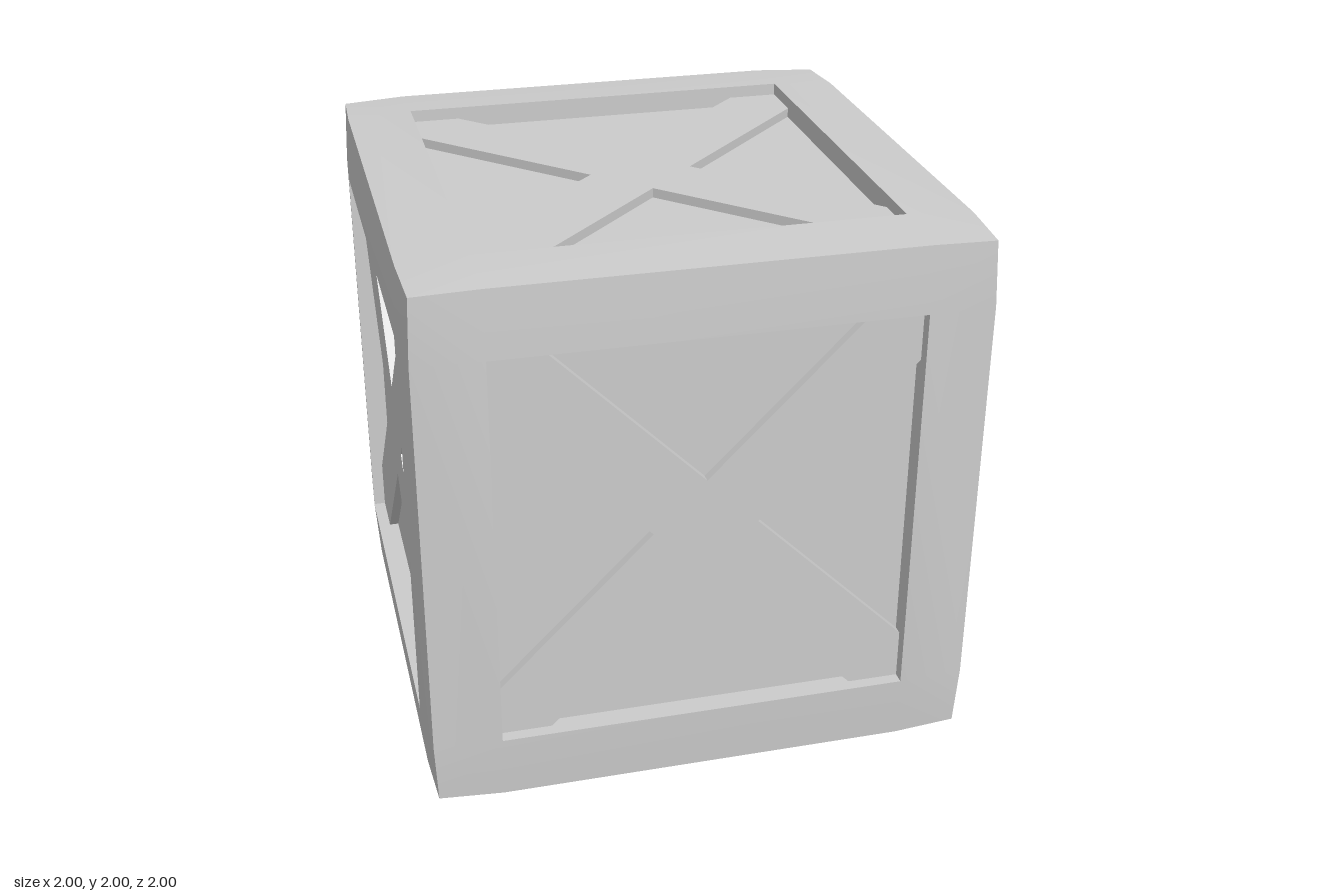
import * as THREE from 'three';
import { mergeVertices } from 'three/addons/utils/BufferGeometryUtils.js';

const INNER = 0.742;   // half width of the recessed opening
const EDGE = 0.984;    // crate edge along its middle
const CORNER = 0.974;  // crate corners, pulled in slightly
const PANEL = 0.92;    // recessed panel depth
const CROSS = 0.955;   // cross brace depth
const ARM = 0.186;     // inner notch of the cross

// Repeat a few [x, y, z] points four times, turning a quarter each time
function quarterTurns(points) {
  const ring = [];
  for (let k = 0; k < 4; k++) {
    for (const [x, y, z] of points) {
      ring.push([[x, y, z], [-y, x, z], [-x, -y, z], [y, -x, z]][k]);
    }
  }
  return ring;
}

// Surface between two closed counter-clockwise rings
function bridge(outer, inner) {
  const n = outer.length;
  const index = [];
  for (let i = 0; i < n; i++) {
    const j = (i + 1) % n;
    index.push(i, j, n + j, i, n + j, n + i);
  }
  let geometry = new THREE.BufferGeometry();
  geometry.setAttribute('position', new THREE.Float32BufferAttribute([...outer, ...inner].flat(), 3));
  geometry.setIndex(index);
  geometry = mergeVertices(geometry);
  geometry.computeVertexNormals();
  return geometry;
}

export function createModel() {
  const model = new THREE.Group();
  model.name = 'crate';
  const material = new THREE.MeshStandardMaterial({ color: 0xcccccc });

  // Slightly domed frame around each opening
  const outer = quarterTurns([[EDGE, INNER, EDGE], [CORNER, CORNER, CORNER], [INNER, EDGE, EDGE]]);
  const lip = quarterTurns([[INNER, INNER, 1], [INNER, INNER, 1], [INNER, INNER, 1]]);
  const frame = bridge(outer, lip);

  // Straight walls of the recess, flat shaded
  const wall = bridge(
    quarterTurns([[INNER, INNER, 1]]),
    quarterTurns([[INNER, INNER, PANEL]])
  ).toNonIndexed();
  wall.computeVertexNormals();

  const panel = new THREE.PlaneGeometry(2 * INNER, 2 * INNER).translate(0, 0, PANEL);

  // Diagonal cross brace, clipped by the opening
  const end = INNER - ARM;
  const outline = quarterTurns([[ARM, 0, 0], [INNER, end, 0], [INNER, INNER, 0], [end, INNER, 0]]);
  const cross = new THREE.ExtrudeGeometry(
    new THREE.Shape(outline.map(([x, y]) => new THREE.Vector2(x, y))),
    { depth: CROSS - PANEL, bevelEnabled: false }
  ).translate(0, 0, PANEL);

  // Six identical sides around the crate centre
  const sides = {
    front: [0, 0], left: [0, Math.PI / 2], back: [0, Math.PI], right: [0, -Math.PI / 2],
    top: [-Math.PI / 2, 0], bottom: [Math.PI / 2, 0]
  };
  for (const [name, [rx, ry]] of Object.entries(sides)) {
    const side = new THREE.Group();
    side.name = name + 'Side';
    const parts = { frame, recessWall: wall, panel, crossBrace: cross };
    for (const [part, geometry] of Object.entries(parts)) {
      const mesh = new THREE.Mesh(geometry, material);
      mesh.name = part;
      side.add(mesh);
    }
    side.rotation.set(rx, ry, 0);
    side.position.y = 1;
    model.add(side);
  }
  return model;
}
